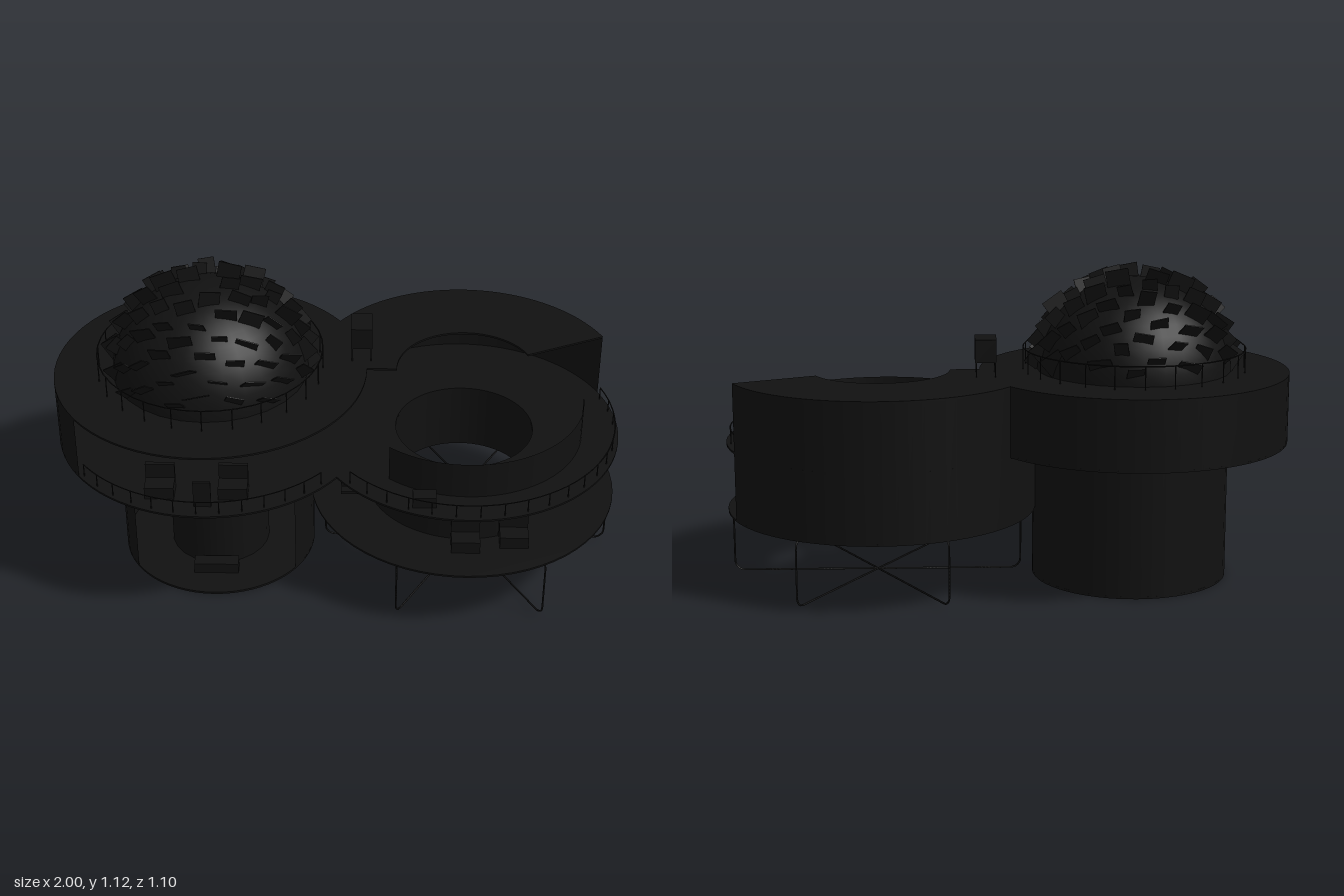
import * as THREE from 'three';

const rad = THREE.MathUtils.degToRad;
const NOTCH = 144.9; // angle where the two round storeys meet
const LX = -0.45, RX = 0.45, R = 0.55, HOLE = 0.245;

export function createModel() {
  const model = new THREE.Group();
  const mat = new THREE.MeshStandardMaterial({ color: 0x111111, side: THREE.DoubleSide });

  const add = (name, geo, x = 0, y = 0, z = 0, parent = model) => {
    const m = new THREE.Mesh(geo, mat);
    m.name = name;
    m.position.set(x, y, z);
    parent.add(m);
    return m;
  };
  const box = (name, w, h, d, x, y, z) => add(name, new THREE.BoxGeometry(w, h, d), x, y + h / 2, z);

  // Upright curved wall; angles in degrees, measured from +x towards +z
  const wall = (name, cx, r, a0, a1, y0, y1) => add(name, new THREE.CylinderGeometry(
    r, r, y1 - y0, 32, 1, true, Math.PI / 2 - rad(a1), rad(a1 - a0)), cx, (y0 + y1) / 2, 0);

  // Flat slab from a plan shape (shape y becomes z), top at height y
  const slab = (name, shape, y, t = 0.007) => {
    const g = new THREE.ExtrudeGeometry(shape, { depth: t, bevelEnabled: false, curveSegments: 32 });
    add(name, g.rotateX(Math.PI / 2), 0, y, 0);
  };
  const circle = (Type, cx, r) => new Type().absarc(cx, 0, r, 0, Math.PI * 2, false);

  // Handrail with posts along an arc
  const railing = (name, cx, r, a0, a1, y, h, posts) => {
    const group = new THREE.Group();
    group.name = name;
    const rail = new THREE.TorusGeometry(r, 0.0025, 4, 40, rad(a1 - a0));
    rail.rotateX(Math.PI / 2).rotateY(-rad(a0));
    add('rail', rail, cx, y + h, 0, group);
    for (let i = 0; i <= posts; i++) {
      const a = rad(a0 + (a1 - a0) * i / posts);
      add('post', new THREE.CylinderGeometry(0.002, 0.002, h, 4),
        cx + r * Math.cos(a), y + h / 2, r * Math.sin(a), group);
    }
    model.add(group);
  };

  // Floors
  const lower = circle(THREE.Shape, RX, R);
  lower.holes.push(circle(THREE.Path, RX, HOLE));
  slab('lowerFloor', lower, 0.264);

  const upper = new THREE.Shape();
  upper.absarc(LX, 0, R, rad(180 - NOTCH), rad(180 + NOTCH), false);
  upper.absarc(RX, 0, R, rad(-NOTCH), rad(NOTCH), false);
  upper.holes.push(circle(THREE.Path, RX, HOLE));
  slab('upperFloor', upper, 0.506);

  // Roof: whole left disc, with a ring sector over the back of the right one
  const roof = new THREE.Shape();
  roof.absarc(LX, 0, R, 0, rad(180 + NOTCH), false);
  roof.absarc(RX, 0, R, rad(-NOTCH), rad(-24.6), false);
  roof.absarc(RX, 0, HOLE, rad(-24.6), rad(-180), true);
  slab('roof', roof, 0.748);

  // Outer walls, open to the front
  wall('rightUpperWall', RX, R, -NOTCH, -24.6, 0.26, 0.745);
  wall('rightLowerWall', RX, R, -180, -NOTCH, 0.26, 0.5);
  wall('leftWall', LX, R, -217, NOTCH - 180, 0.5, 0.745);

  // Courtyard wall and balcony partitions
  wall('courtyardWall', RX, HOLE, 0, 360, 0.26, 0.5);
  wall('lowerPartition', RX, 0.345, 70, 165, 0.26, 0.455);
  wall('upperPartition', RX, 0.42, 0, 130, 0.5, 0.64);

  // Stem under the left storey
  slab('stemBase', circle(THREE.Shape, -0.44, 0.35), 0.008, 0.008);
  wall('stemWall', -0.44, 0.35, -215, 35, 0, 0.5);
  add('stemCore', new THREE.CylinderGeometry(0.18, 0.18, 0.5, 24), -0.44, 0.25, 0);
  box('stemBench', 0.16, 0.04, 0.05, -0.44, 0.008, 0.215);

  // Dome
  add('dome', new THREE.SphereGeometry(0.345, 28, 12, 0, Math.PI * 2, 0, Math.PI / 2), LX, 0.742, 0)
    .scale.y = 0.97;

  // Tilted plates scattered over the dome
  let seed = 7;
  const rnd = () => (seed = (seed * 16807) % 2147483647) / 2147483647;
  const plates = new THREE.Group();
  plates.name = 'domePlates';
  plates.position.set(LX, 0.742, 0);
  const plateGeo = new THREE.BoxGeometry(0.07, 0.1, 0.004);
  for (let i = 0; i < 90; i++) {
    const up = 0.08 + 0.9 * (i + 0.5) / 90;
    const a = i * 2.39996, s = Math.sqrt(1 - up * up);
    const dir = new THREE.Vector3(s * Math.cos(a), up, s * Math.sin(a));
    const p = add('plate', plateGeo, 0, 0, 0, plates);
    p.position.copy(dir).multiplyScalar(0.335);
    // lean outwards while staying broad towards the front
    p.rotation.set(dir.z * 0.8 + (rnd() - 0.5) * 0.5, (rnd() - 0.5) * 0.5, -dir.x * 0.8 + (rnd() - 0.5) * 0.4);
    p.scale.set(0.7 + rnd() * 0.5, 0.8 + rnd() * 0.4, 1);
  }
  model.add(plates);

  // Railings
  railing('roofRailing', LX, 0.395, 0, 360, 0.745, 0.083, 24);
  railing('rightBalconyRailing', RX, 0.535, -20, NOTCH - 6, 0.505, 0.05, 18);
  railing('leftBalconyRailing', LX, 0.535, 42, 142, 0.505, 0.05, 12);

  // Roof box on thin legs
  box('roofBox', 0.075, 0.08, 0.11, 0.08, 0.8, -0.1);
  for (const sx of [-1, 1]) for (const sz of [-1, 1])
    box('roofBoxLeg', 0.004, 0.06, 0.004, 0.08 + sx * 0.033, 0.745, -0.1 + sz * 0.05);

  // Three crossing rounded wire frames carry the right storey
  const w = 0.517, y0 = 0.012, y1 = 0.253, c = 0.035;
  const frame = new THREE.Shape();
  frame.absarc(w - c, y0 + c, c, -Math.PI / 2, 0, false);
  frame.absarc(w - c, y1 - c, c, 0, Math.PI / 2, false);
  frame.absarc(-w + c, y1 - c, c, Math.PI / 2, Math.PI, false);
  frame.absarc(-w + c, y0 + c, c, Math.PI, Math.PI * 1.5, false);
  const path = new THREE.CurvePath();
  const pts = frame.getPoints(5).map(p => new THREE.Vector3(p.x, p.y, 0));
  pts.forEach((p, i) => {
    const q = pts[(i + 1) % pts.length];
    if (p.distanceTo(q) > 1e-5) path.add(new THREE.LineCurve3(p, q));
  });
  const frameGeo = new THREE.TubeGeometry(path, 200, 0.0035, 5, false);
  for (let i = 0; i < 3; i++) add('legFrame', frameGeo, 0.47, 0, 0.005).rotation.y = i * Math.PI / 3;

  // Stairs between the two floors
  for (let i = 0; i < 10; i++)
    box('stairStep', 0.1, 0.012, 0.03, 0.06, 0.28 + i * 0.022, 0.1 - i * 0.022);

  // Seats and table on the balconies
  for (const [x, y, z] of [[0.45, 0.264, 0.39], [0.62, 0.264, 0.36], [-0.6, 0.506, 0.42], [-0.35, 0.506, 0.42]]) {
    box('seat', 0.1, 0.045, 0.07, x, y, z);
    box('seatBack', 0.1, 0.1, 0.015, x, y, z - 0.035);
  }
  box('balconyTable', 0.08, 0.04, 0.05, 0.3, 0.506, 0.46);
  box('balconyScreen', 0.06, 0.1, 0.008, -0.45, 0.506, 0.49);

  return model;
}
